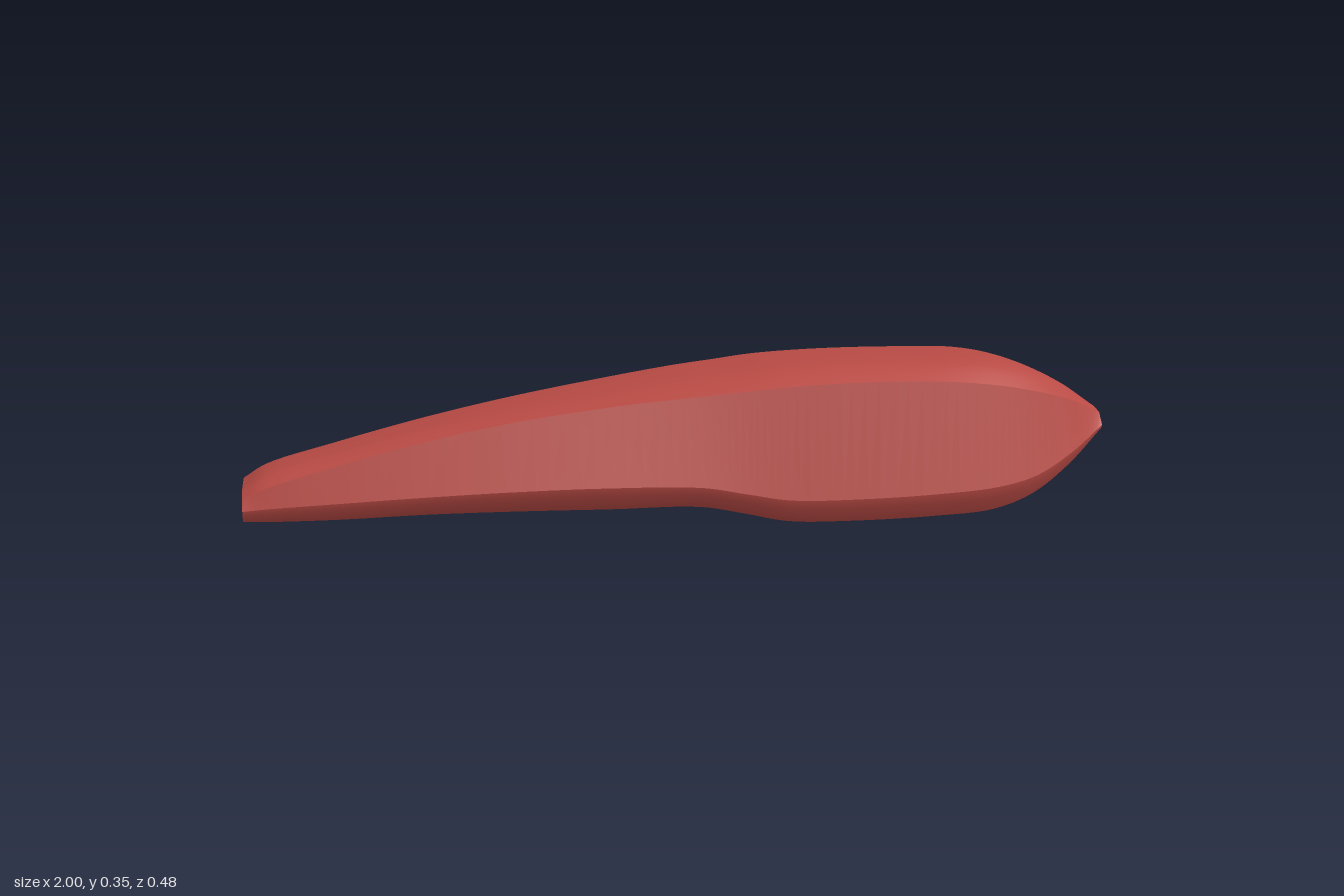
import * as THREE from 'three';

// Stations along x: x, top, shoulder y, belt y, bottom y, belt half-width, shoulder half-width, groove half-width, groove depth
const STATIONS = [
  [-1.0, 0.108, 0.092, 0.068, 0.042, 0.11, 0.095, 0.075, 0.03],
  [-0.95, 0.138, 0.115, 0.072, 0.04, 0.115, 0.104, 0.077, 0.033],
  [-0.8, 0.178, 0.158, 0.08, 0.04, 0.131, 0.11, 0.082, 0.035],
  [-0.6, 0.225, 0.208, 0.091, 0.047, 0.156, 0.12, 0.088, 0.037],
  [-0.4, 0.264, 0.247, 0.1, 0.05, 0.184, 0.135, 0.094, 0.037],
  [-0.2, 0.296, 0.275, 0.104, 0.05, 0.209, 0.155, 0.1, 0.037],
  [0.0, 0.325, 0.295, 0.099, 0.05, 0.227, 0.176, 0.104, 0.037],
  [0.1, 0.335, 0.304, 0.081, 0.031, 0.234, 0.187, 0.106, 0.037],
  [0.2, 0.346, 0.312, 0.063, 0.009, 0.239, 0.193, 0.108, 0.037],
  [0.35, 0.352, 0.317, 0.058, 0.002, 0.242, 0.195, 0.108, 0.037],
  [0.55, 0.351, 0.313, 0.06, 0.002, 0.24, 0.192, 0.108, 0.037],
  [0.7, 0.346, 0.297, 0.067, 0.008, 0.229, 0.182, 0.106, 0.036],
  [0.8, 0.326, 0.277, 0.085, 0.037, 0.21, 0.166, 0.103, 0.033],
  [0.9, 0.283, 0.249, 0.127, 0.095, 0.174, 0.138, 0.096, 0.026],
  [1.0, 0.217, 0.205, 0.178, 0.17, 0.119, 0.1, 0.086, 0.017],
];

// Half cross-section from crown to groove centre, as [y, z]
function halfSection([, top, shY, beltY, bot, wide, shW, inW, depth]) {
  const drop = top - shY;
  const chamfer = beltY - bot;
  return [
    [top, 0], [top - 0.02 * drop, 0.28 * shW], [top - 0.07 * drop, 0.52 * shW],
    [top - 0.25 * drop, 0.7 * shW], [top - 0.58 * drop, 0.85 * shW],
    [shY, shW],                                      // 5 shoulder
    [beltY, wide],                                   // 6 belt
    [bot + 0.6 * chamfer, wide - 0.1 * chamfer],
    [bot, wide - 0.47 * chamfer],                    // 8 outer lip
    [bot, inW],                                      // 9 inner lip
    [bot + 0.85 * depth, inW - 0.01],                // 10 groove wall top
    [bot + depth, inW * 0.7], [bot + depth, 0],
  ];
}

const STEPS = 84;
const curves = halfSection(STATIONS[0]).map((_, k) => new THREE.CatmullRomCurve3(
  STATIONS.map((s) => new THREE.Vector3(s[0], ...halfSection(s)[k]))));
const halfLoop = curves.map((c) => c.getPoints(STEPS));
const mirrorZ = (line) => line.map((p) => new THREE.Vector3(p.x, p.y, -p.z));
const mirrored = halfLoop.map(mirrorZ);

function makeGeometry(points, index) {
  const g = new THREE.BufferGeometry().setFromPoints(points);
  g.setIndex(index);
  g.computeVertexNormals();
  return g;
}

// Smooth surface across neighbouring lengthwise lines; edges stay crisp
function strip(lines) {
  const n = STEPS + 1;
  const index = [];
  for (let j = 0; j < lines.length - 1; j++) {
    for (let i = 0; i < STEPS; i++) {
      const a = j * n + i, b = a + 1, c = a + n, d = c + 1;
      index.push(a, c, b, c, d, b);
    }
  }
  return makeGeometry(lines.flat(), index);
}

// Flat end face, facing along side * x
function cap(i, side) {
  const loop = [...halfLoop, ...mirrored.slice(1, -1).reverse()].map((l) => l[i]);
  const flat = loop.map((p) => new THREE.Vector2(p.z, p.y));
  const index = [];
  for (const [a, b, c] of THREE.ShapeUtils.triangulateShape(flat, [])) {
    const normal = loop[b].clone().sub(loop[a]).cross(loop[c].clone().sub(loop[a]));
    index.push(...(normal.x * side > 0 ? [a, b, c] : [a, c, b]));
  }
  return makeGeometry(loop, index);
}

export function createModel() {
  const model = new THREE.Group();
  model.name = 'contouredShell';
  const red = new THREE.MeshStandardMaterial({ color: 0xb84a44 });
  red.name = 'warm red';
  const add = (name, geometry) => {
    const mesh = new THREE.Mesh(geometry, red);
    mesh.name = name;
    model.add(mesh);
  };

  // Rounded crown and recessed groove span both sides
  add('crown', strip([...mirrored.slice(1, 6).reverse(), ...halfLoop.slice(0, 6)]));
  add('grooveCeiling', strip([...halfLoop.slice(10), ...mirrored.slice(10, 12).reverse()]));

  // Paired faces
  const pairs = [['Side', 5, 6], ['LowerEdge', 6, 8], ['Lip', 8, 9], ['GrooveWall', 9, 10]];
  for (const [name, from, to] of pairs) {
    add('front' + name, strip(halfLoop.slice(from, to + 1)));
    add('back' + name, strip(mirrored.slice(from, to + 1).reverse()));
  }

  // Ends
  add('narrowEnd', cap(0, -1));
  add('wideEnd', cap(STEPS, 1));
  return model;
}
